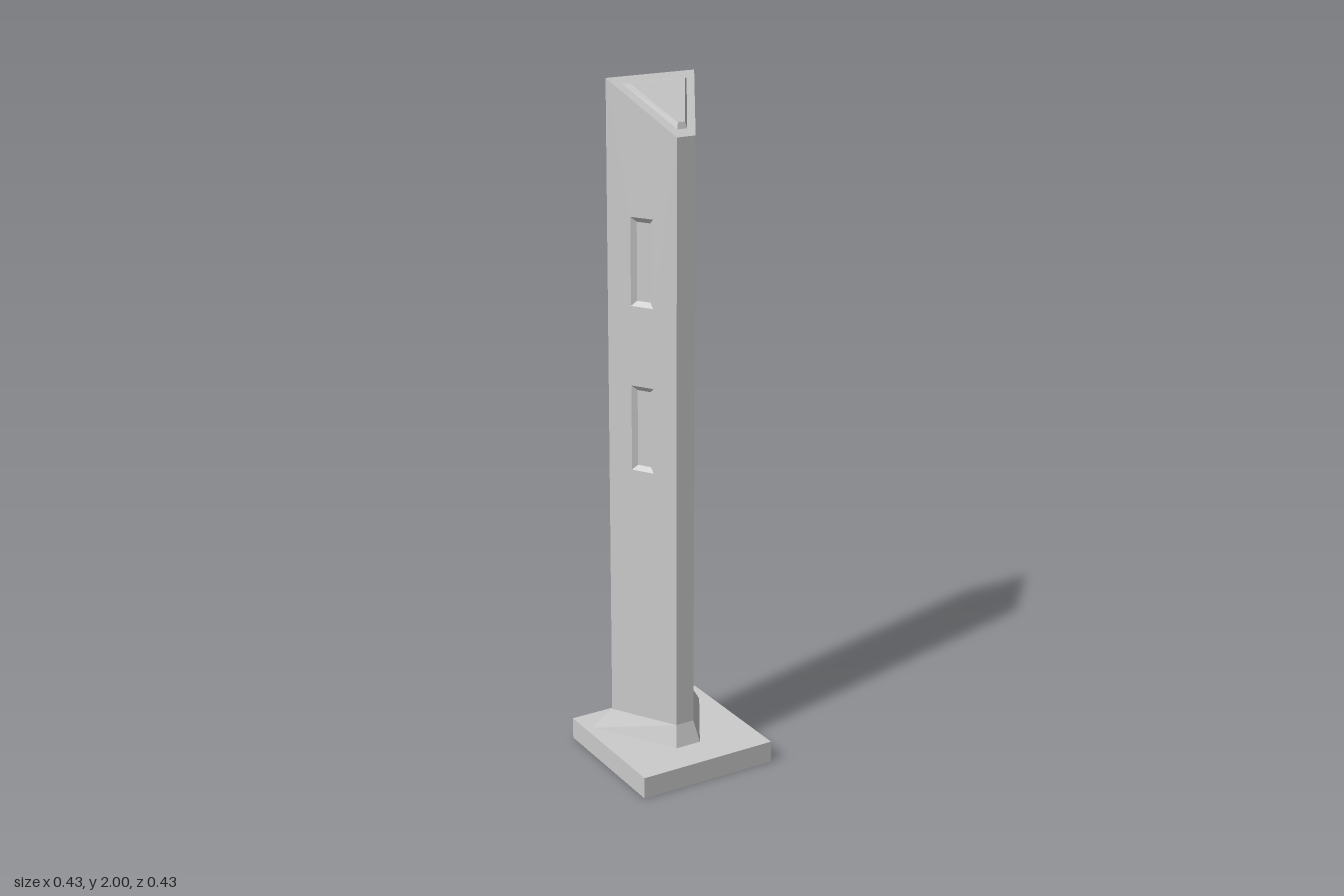
import * as THREE from 'three';

const material = new THREE.MeshStandardMaterial({ color: 0xcccccc, flatShading: true });

// Plan corners [x, z]: front -x, front +x, back +x, back -x
const SHAFT = [[-0.035, 0.09], [0.023, 0.09], [0.132, -0.097], [-0.145, -0.097]];
const FLARE = [[-0.045, 0.108], [0.035, 0.108], [0.18, -0.132], [-0.195, -0.132]];
const BASE_TOP = 0.065, SHAFT_BOTTOM = 0.13;

// Height of the sloping top at depth z
const topY = (z) => 1.86 + (0.09 - z) * (0.14 / 0.187);

// Sloping quads between two loops of points, optionally closed by a fan over the second
function loft(a, b, cap) {
  const pos = [];
  const tri = (...pts) => pts.forEach((p) => pos.push(...p));
  a.forEach((p, i) => {
    const j = (i + 1) % a.length;
    tri(p, a[j], b[j]);
    tri(p, b[j], b[i]);
    if (cap && i > 0 && i < a.length - 1) tri(b[0], b[i], b[i + 1]);
  });
  const g = new THREE.BufferGeometry();
  g.setAttribute('position', new THREE.Float32BufferAttribute(pos, 3));
  g.computeVertexNormals();
  return g;
}

function mesh(name, geometry) {
  const m = new THREE.Mesh(geometry, material);
  m.name = name;
  return m;
}

const rect = (u0, u1, v0, v1, w) => [[u0, v0, w], [u1, v0, w], [u1, v1, w], [u0, v1, w]];

// One flat shaft wall from plan corner p to q, with bevelled recesses cut into it
function wall(name, p, q, { spans = [], halfWidth = 0, inset = 0, depth = 0 } = {}) {
  const group = new THREE.Group();
  group.name = name;
  const u = new THREE.Vector3(q[0] - p[0], 0, q[1] - p[1]);
  const width = u.length();
  u.normalize();
  const up = new THREE.Vector3(0, 1, 0);
  group.applyMatrix4(new THREE.Matrix4()
    .makeBasis(u, up, new THREE.Vector3().crossVectors(u, up))
    .setPosition(p[0], 0, p[1]));

  const shape = new THREE.Shape([
    [0, SHAFT_BOTTOM], [width, SHAFT_BOTTOM], [width, topY(q[1])], [0, topY(p[1])],
  ].map((c) => new THREE.Vector2(...c)));
  const u0 = width / 2 - halfWidth, u1 = width / 2 + halfWidth;
  for (const [v0, v1] of spans) {
    const outer = rect(u0, u1, v0, v1, 0);
    const inner = rect(u0 + inset, u1 - inset, v0 + inset, v1 - inset, -depth);
    shape.holes.push(new THREE.Path(outer.map((c) => new THREE.Vector2(c[0], c[1])).reverse()));
    group.add(mesh('recess', loft(outer, inner, true)));
  }
  group.add(mesh('wallFace', new THREE.ShapeGeometry(shape)));
  return group;
}

export function createModel() {
  const model = new THREE.Group();
  model.name = 'pillar';

  // Square foot plate
  const base = mesh('basePlate', new THREE.BoxGeometry(0.43, BASE_TOP, 0.43));
  base.position.y = BASE_TOP / 2;
  model.add(base);

  // Flared foot of the shaft
  const atHeight = (loop, y) => loop.map(([x, z]) => [x, y, z]);
  model.add(mesh('flaredFoot', loft(atHeight(FLARE, BASE_TOP), atHeight(SHAFT, SHAFT_BOTTOM), false)));

  // Shaft walls: small slots in the sides, two large panels in the back
  const slots = { spans: [[0.9, 1.15], [1.38, 1.63]], halfWidth: 0.035, inset: 0.014, depth: 0.01 };
  const panels = { spans: [[1.145, 1.425], [1.445, 1.71]], halfWidth: 0.1, inset: 0.03, depth: 0.016 };
  const [fl, fr, br, bl] = SHAFT;
  model.add(
    wall('frontWall', fl, fr),
    wall('leftWall', fr, br, slots),
    wall('backWall', br, bl, panels),
    wall('rightWall', bl, fl, slots),
  );

  // Sloping top with a raised bevelled panel
  const onSlope = (loop, lift) => loop.map(([x, z]) => [x, topY(z) + lift, z]);
  const rim = [[-0.02, 0.068], [0.01, 0.068], [0.095, -0.076], [-0.105, -0.076]];
  const face = [[-0.016, 0.063], [0.006, 0.063], [0.08, -0.06], [-0.09, -0.06]];
  model.add(mesh('slopingTop', loft(onSlope(SHAFT, 0), onSlope(rim, 0), false)));
  model.add(mesh('topPanel', loft(onSlope(rim, 0), onSlope(face, 0.014), true)));

  return model;
}
